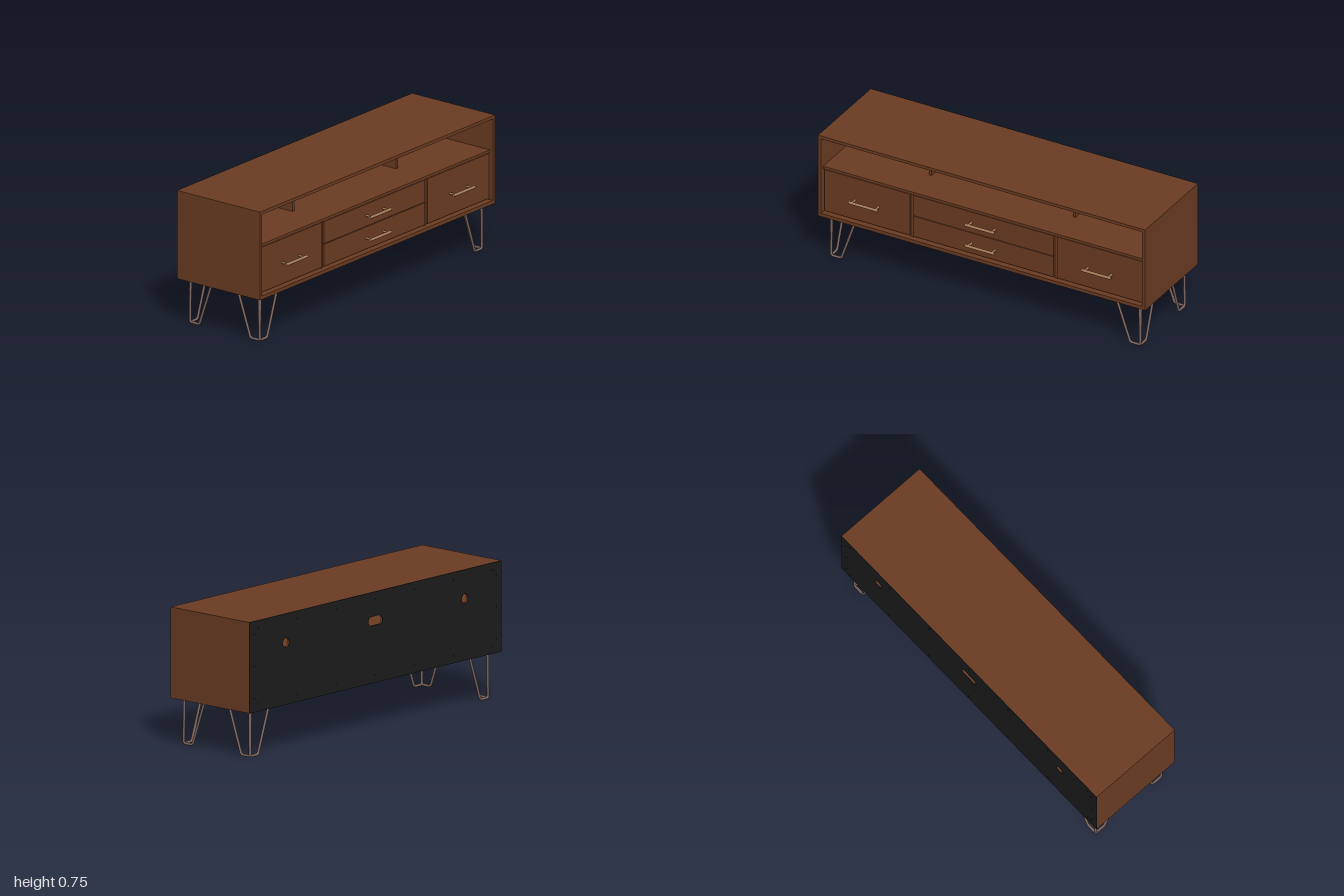
import * as THREE from 'three';

const wood = new THREE.MeshStandardMaterial({ name: 'walnut wood', color: 0x6b3c22 });
const black = new THREE.MeshStandardMaterial({ name: 'black backing', color: 0x1c1c1c });
const brass = new THREE.MeshStandardMaterial({ name: 'warm brass', color: 0xa87c58 });
const steel = new THREE.MeshStandardMaterial({ name: 'brown steel', color: 0x7d655e });

export function createModel() {
  const model = new THREE.Group();
  model.name = 'mediaConsole';

  function add(name, geometry, material, parent = model) {
    const mesh = new THREE.Mesh(geometry, material);
    mesh.name = name;
    parent.add(mesh);
    return mesh;
  }
  // Box given by its minimum and maximum on each axis
  function board(name, x0, x1, y0, y1, z0, z1, material = wood) {
    const g = new THREE.BoxGeometry(x1 - x0, y1 - y0, z1 - z0);
    g.translate((x0 + x1) / 2, (y0 + y1) / 2, (z0 + z1) / 2);
    return add(name, g, material);
  }
  function rectangle(target, x0, x1, y0, y1) {
    target.moveTo(x0, y0);
    target.lineTo(x1, y0);
    target.lineTo(x1, y1);
    target.lineTo(x0, y1);
    target.closePath();
    return target;
  }
  function extrude(shape, z0, depth) {
    const g = new THREE.ExtrudeGeometry(shape, { depth, bevelEnabled: false, curveSegments: 16 });
    return g.translate(0, 0, z0);
  }

  // Cabinet shell
  const bottom = 0.255, top = 0.75, back = -0.29, face = 0.25;
  board('topBoard', -1, 1, 0.73, top, back, face);
  board('bottomBoard', -1, 1, bottom, 0.275, back, face);
  for (const s of [-1, 1]) {
    board('sideBoard', s * 0.99 - 0.01, s * 0.99 + 0.01, 0.275, 0.73, back, face);
    board('upperDivider', s * 0.44 - 0.008, s * 0.44 + 0.008, 0.555, 0.73, -0.28, 0.05);
    board('lowerDivider', s * 0.44 - 0.008, s * 0.44 + 0.008, 0.275, 0.54, -0.28, 0.24);
  }
  board('shelf', -0.98, 0.98, 0.54, 0.555, -0.28, face);

  // Raised edging round the front
  const edging = rectangle(new THREE.Shape(), -1, 1, bottom, top);
  edging.holes.push(rectangle(new THREE.Path(), -0.982, 0.982, 0.275, 0.732));
  add('frontEdging', extrude(edging, face, 0.02), wood);

  // Back wall with cable holes: wooden inside, black outside
  function backShape(x, y0, y1) {
    const shape = rectangle(new THREE.Shape(), -x, x, y0, y1);
    for (const [cx, half] of [[-0.71, 0], [0, 0.031], [0.71, 0]]) {
      const hole = new THREE.Path();
      hole.absarc(cx + half, 0.592, 0.025, -Math.PI / 2, Math.PI / 2);
      hole.absarc(cx - half, 0.592, 0.025, Math.PI / 2, Math.PI * 1.5);
      hole.closePath();
      shape.holes.push(hole);
    }
    return shape;
  }
  add('innerBack', extrude(backShape(0.98, 0.275, 0.73), -0.29, 0.01), wood);
  add('backPanel', extrude(backShape(1, bottom, top), -0.293, 0.003), black);

  // Small screws round the back panel
  const screwSpots = [];
  for (let i = -3; i <= 3; i++) screwSpots.push([i * 0.31, 0.71], [i * 0.31, 0.297]);
  for (const x of [-0.96, 0.96]) for (const y of [0.68, 0.505, 0.33]) screwSpots.push([x, y]);
  for (const [x, y] of screwSpots) {
    const g = new THREE.CylinderGeometry(0.004, 0.004, 0.005, 10).rotateX(Math.PI / 2);
    add('backScrew', g.translate(x, y, -0.2945), black);
  }

  // Drawer fronts
  for (const s of [-1, 1]) board('sideDrawer', s * 0.711 - 0.262, s * 0.711 + 0.262, 0.285, 0.537, 0.22, face);
  board('lowerDrawer', -0.428, 0.428, 0.285, 0.409, 0.22, face);
  board('upperDrawer', -0.428, 0.428, 0.413, 0.537, 0.22, face);

  // Bar handles on two posts
  for (const [x, y] of [[-0.712, 0.404], [0.712, 0.404], [0, 0.474], [0, 0.347]]) {
    const handle = new THREE.Group();
    handle.name = 'drawerHandle';
    handle.position.set(x, y, 0.289);
    model.add(handle);
    add('handleBar', new THREE.CylinderGeometry(0.008, 0.008, 0.18, 16).rotateZ(Math.PI / 2), brass, handle);
    for (const s of [-1, 1]) {
      const post = new THREE.CylinderGeometry(0.006, 0.006, 0.04, 12).rotateX(Math.PI / 2);
      add('handlePost', post.translate(s * 0.072, 0, -0.02), brass, handle);
    }
  }

  // Hairpin legs: two bent rods share the outer corner, one runs along x and one along z
  const r = 0.007;
  function rodGeometry(along) {
    const at = (d, y) => along.clone().multiplyScalar(d).setY(y);
    const points = [at(0.004, 0.253), at(0, r), at(0.062, r), at(0.147, 0.253)];
    const path = new THREE.CurvePath();
    let from = points[0];
    for (let i = 1; i < 3; i++) {
      const p = points[i];
      const enter = p.clone().add(points[i - 1].clone().sub(p).setLength(0.014));
      const leave = p.clone().add(points[i + 1].clone().sub(p).setLength(0.014));
      path.add(new THREE.LineCurve3(from, enter));
      path.add(new THREE.QuadraticBezierCurve3(enter, p, leave));
      from = leave;
    }
    path.add(new THREE.LineCurve3(from, points[3]));
    return new THREE.TubeGeometry(path, 80, r, 12);
  }
  for (const sx of [-1, 1]) for (const sz of [-1, 1]) {
    const leg = new THREE.Group();
    leg.name = sz > 0 ? 'frontLeg' : 'rearLeg';
    leg.position.set(sx * 0.945, 0, -0.011 + sz * 0.236);
    model.add(leg);
    add('legRodAcross', rodGeometry(new THREE.Vector3(-sx, 0, 0)), steel, leg);
    add('legRodDeep', rodGeometry(new THREE.Vector3(0, 0, -sz)), steel, leg);

    // Corner mounting plate with screw heads
    const plate = new THREE.Shape();
    plate.moveTo(sx * 0.008, sz * 0.008);
    plate.lineTo(-sx * 0.155, sz * 0.008);
    plate.lineTo(-sx * 0.155, -sz * 0.012);
    plate.lineTo(-sx * 0.012, -sz * 0.155);
    plate.lineTo(sx * 0.008, -sz * 0.155);
    plate.closePath();
    add('legPlate', extrude(plate, 0, 0.003).rotateX(Math.PI / 2).translate(0, bottom, 0), steel, leg);
    for (const [dx, dz] of [[0.045, 0.045], [0.11, 0.02], [0.02, 0.11]]) {
      const g = new THREE.CylinderGeometry(0.007, 0.005, 0.003, 10);
      add('plateScrew', g.translate(-sx * dx, 0.2505, -sz * dz), steel, leg);
    }
  }
  return model;
}
